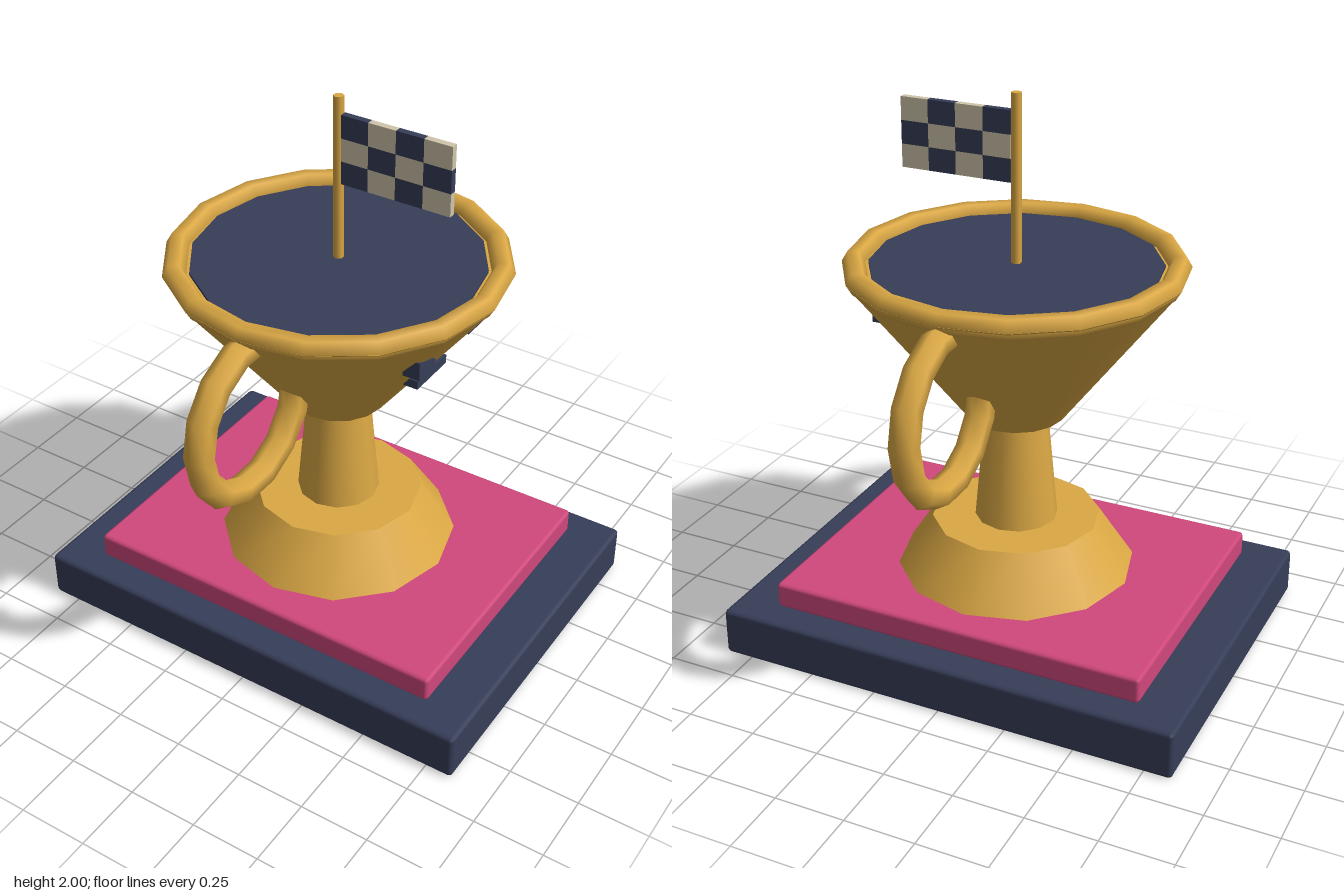
import * as THREE from 'three';
import { RoundedBoxGeometry } from 'three/addons/geometries/RoundedBoxGeometry.js';

const flat = (name, color) => {
  const m = new THREE.MeshStandardMaterial({ color });
  m.name = name;
  return m;
};

export function createModel() {
  const gold = flat('gold', 0xdba844);
  const navy = flat('navy', 0x363d58);
  const pink = flat('pink', 0xd0487c);
  const cream = flat('cream', 0xd0c6ab);

  const model = new THREE.Group();
  model.name = 'trophy';

  const add = (name, geometry, material, x = 0, y = 0, z = 0, parent = model) => {
    const mesh = new THREE.Mesh(geometry, material);
    mesh.name = name;
    mesh.position.set(x, y, z);
    parent.add(mesh);
    return mesh;
  };

  // Round part spanning y0..y1
  const taper = (name, material, rBottom, rTop, y0, y1, sides) =>
    add(name, new THREE.CylinderGeometry(rTop, rBottom, y1 - y0, sides), material, 0, (y0 + y1) / 2, 0);

  // Stepped plinth with chamfered edges
  add('plinthBase', new RoundedBoxGeometry(1.7, 0.175, 1.27, 1, 0.016), navy, 0, 0.0875, 0);
  add('plinthTop', new RoundedBoxGeometry(1.38, 0.095, 1.06, 1, 0.014), pink, 0, 0.2225, 0);

  // Foot, stem and bowl
  taper('foot', gold, 0.425, 0.3, 0.27, 0.46, 12);
  taper('stem', gold, 0.147, 0.11, 0.46, 0.87, 12);
  taper('bowl', gold, 0.172, 0.588, 0.86, 1.405, 16);
  taper('bowlFilling', navy, 0.5, 0.5, 1.4, 1.415, 16);

  // Rim
  const rim = new THREE.TorusGeometry(0.55, 0.04, 6, 16);
  rim.rotateX(Math.PI / 2);
  add('rim', rim, gold, 0, 1.41, 0);

  // Ring handles at front and back
  const ring = new THREE.TorusGeometry(0.27, 0.05, 6, 14);
  ring.rotateY(Math.PI / 2);
  for (const s of [1, -1]) {
    add(s > 0 ? 'frontHandle' : 'backHandle', ring, gold, 0, 1.085, s * 0.53);
  }

  // Face on the +x side: slanted eyes and a straight mouth
  for (const s of [1, -1]) {
    const outline = [[0.212, 1.2], [0.111, 1.2], [0.111, 1.23], [0.212, 1.267]];
    const shape = new THREE.Shape(outline.map(([z, y]) => new THREE.Vector2(-s * z, y)));
    const eye = new THREE.ExtrudeGeometry(shape, { depth: 0.062, bevelEnabled: false });
    eye.rotateY(Math.PI / 2);
    add(s > 0 ? 'frontEye' : 'backEye', eye, navy, 0.38, 0, 0);
  }
  add('mouth', new THREE.BoxGeometry(0.07, 0.032, 0.19), navy, 0.335, 1.086, 0);

  // Flag pole
  taper('flagPole', gold, 0.018, 0.018, 1.405, 2, 6);

  // Chequered flag, 4 by 3 squares
  const flag = new THREE.Group();
  flag.name = 'flag';
  model.add(flag);
  const w = 0.101, h = 0.0815;
  const square = new THREE.BoxGeometry(w, h, 0.024);
  for (let col = 0; col < 4; col++) {
    for (let row = 0; row < 3; row++) {
      add('flagSquare', square, (col + row) % 2 ? cream : navy,
        0.016 + (col + 0.5) * w, 1.94 - (row + 0.5) * h, 0, flag);
    }
  }

  return model;
}
